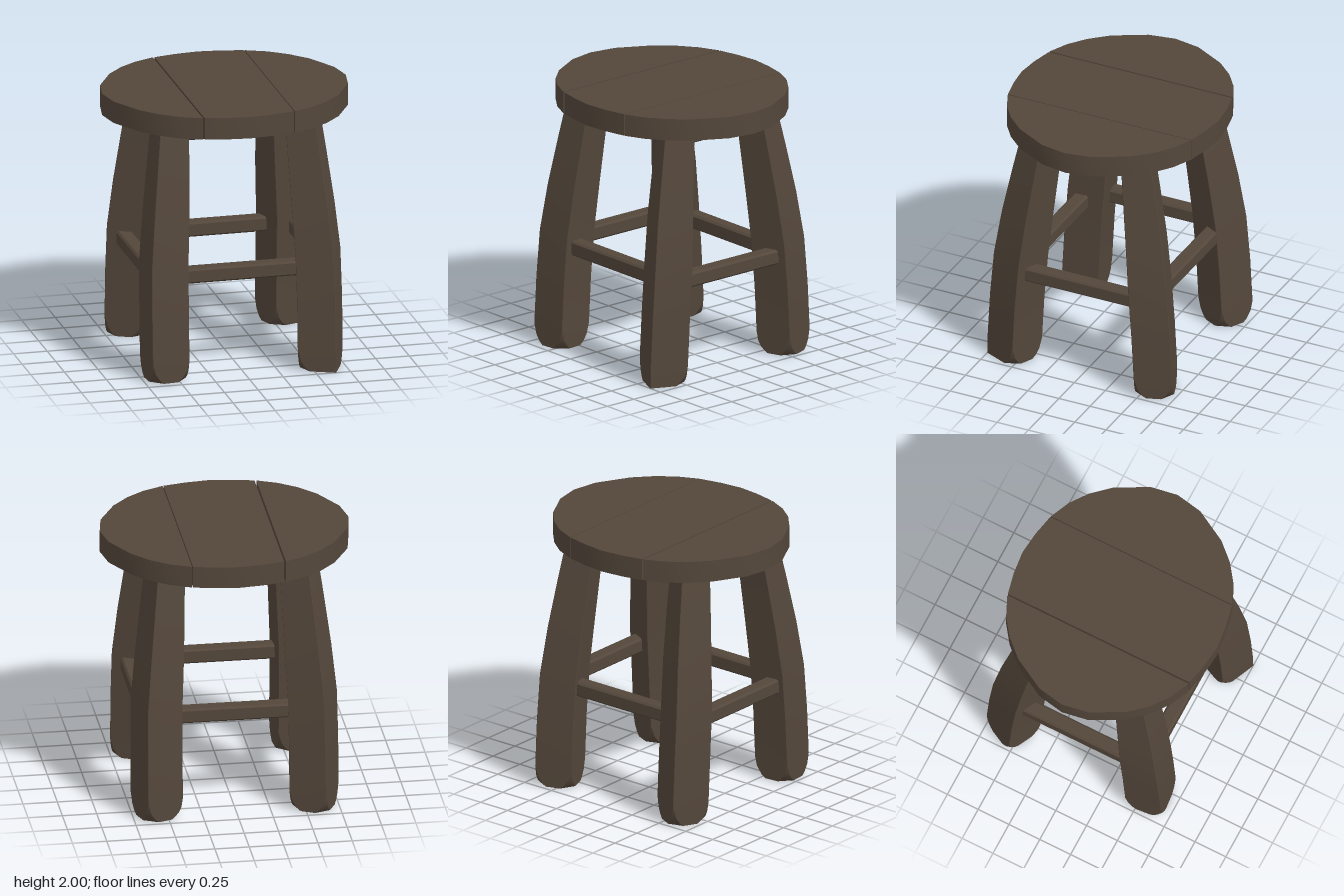
import * as THREE from 'three';
import { toCreasedNormals } from 'three/addons/utils/BufferGeometryUtils.js';

const wood = new THREE.MeshStandardMaterial({ color: 0x54473b });
wood.name = 'darkWood';

// Seat rim from the gap outward: [x, half depth]
const SIDE_RIM = [[0.34, 0.735], [0.49, 0.668], [0.62, 0.572], [0.74, 0.44], [0.87, 0.2], [0.905, 0]];
const MIDDLE_RIM = [[-0.33, 0.737], [-0.17, 0.772], [0, 0.79], [0.17, 0.772], [0.333, 0.737]];

// Leg rings: [y, centre x, centre z, side, corner cut]
const LEG = [
  [0, 0.572, 0.568, 0.278, 0.085],
  [0.025, 0.572, 0.567, 0.279, 0.055],
  [0.07, 0.572, 0.566, 0.28, 0.025],
  [0.15, 0.572, 0.564, 0.281, 0.003],
  [0.5, 0.572, 0.545, 0.281, 0.003],
  [0.85, 0.567, 0.517, 0.28, 0.003],
  [1.2, 0.541, 0.476, 0.266, 0.003],
  [1.55, 0.512, 0.425, 0.242, 0.003],
  [1.845, 0.488, 0.38, 0.218, 0.003],
];

function mesh(name, geometry) {
  const m = new THREE.Mesh(toCreasedNormals(geometry, 0.5), wood);
  m.name = name;
  return m;
}

// Flat seat board from an outline in x and z
function plank(name, outline) {
  const shape = new THREE.Shape(outline.map(([x, z]) => new THREE.Vector2(x, z)));
  const g = new THREE.ExtrudeGeometry(shape, { depth: 0.162, bevelEnabled: false });
  g.rotateX(-Math.PI / 2).translate(0, 1.838, 0);
  return mesh(name, g);
}

// Loft through equal rings of points, capped at both ends
function loft(rings, flip) {
  const n = rings[0].length, index = [];
  const tri = (a, b, c) => (flip ? index.push(a, c, b) : index.push(a, b, c));
  for (let r = 0; r < rings.length - 1; r++) {
    for (let i = 0; i < n; i++) {
      const a = r * n + i, b = r * n + (i + 1) % n;
      tri(a, a + n, b);
      tri(b, a + n, b + n);
    }
  }
  const top = (rings.length - 1) * n;
  for (let i = 1; i < n - 1; i++) {
    tri(0, i, i + 1);
    tri(top, top + i + 1, top + i);
  }
  const g = new THREE.BufferGeometry();
  g.setAttribute('position', new THREE.Float32BufferAttribute(rings.flat(2), 3));
  g.setIndex(index);
  return g;
}

// Splayed square leg, turned about its axis, with worn corners at the foot
function leg(name, sx, sz, degrees, sharpOuter = false) {
  const a = THREE.MathUtils.degToRad(degrees), c = Math.cos(a), s = Math.sin(a);
  const rings = LEG.map(([y, cx, cz, side, cut]) => {
    const h = side / 2, ring = [];
    [[1, 1], [-1, 1], [-1, -1], [1, -1]].forEach(([u, v], k) => {
      const d = k === 0 && sharpOuter ? 0.003 : cut;
      const inX = [u * (h - d), v * h], inZ = [u * h, v * (h - d)];
      for (const [x, z] of u * v > 0 ? [inZ, inX] : [inX, inZ]) {
        ring.push([sx * (cx + x * c - z * s), y, sz * (cz + x * s + z * c)]);
      }
    });
    return ring;
  });
  return mesh(name, loft(rings, sx * sz < 0));
}

// Rung with lightly chamfered edges, running along x or z
function rung(name, alongX, length, thick, y, offset) {
  const h = thick / 2, k = h * 0.75;
  const pts = [[h, k], [k, h], [-k, h], [-h, k], [-h, -k], [-k, -h], [k, -h], [h, -k]];
  const shape = new THREE.Shape(pts.map(([x, z]) => new THREE.Vector2(x, z)));
  const g = new THREE.ExtrudeGeometry(shape, { depth: length, bevelEnabled: false });
  g.translate(0, 0, -length / 2);
  if (alongX) g.rotateY(Math.PI / 2);
  g.translate(alongX ? 0 : offset, y, alongX ? offset : 0);
  return mesh(name, g);
}

export function createModel() {
  const model = new THREE.Group();
  model.name = 'stool';

  // Seat of three boards with narrow gaps
  const back = pts => pts.map(([x, z]) => [x, -z]).reverse();
  const side = [...SIDE_RIM, ...back(SIDE_RIM.slice(0, -1))];
  model.add(
    plank('middleSeatPlank', [...MIDDLE_RIM, ...back(MIDDLE_RIM)]),
    plank('leftSeatPlank', side),
    plank('rightSeatPlank', side.map(([x, z]) => [x === 0.34 ? -0.343 : -x, z])),
  );

  // Legs, each turned a little differently
  const frontRightLeg = leg('frontRightLeg', -1, 1, 5.5);
  frontRightLeg.position.set(-0.008, 0, -0.014);
  model.add(
    frontRightLeg,
    leg('frontLeftLeg', 1, 1, 24, true),
    leg('backLeftLeg', 1, -1, 19),
    leg('backRightLeg', -1, -1, 27),
  );

  // Lower and upper rungs on all four sides
  for (const s of [1, -1]) {
    const end = s > 0 ? 'front' : 'back', flank = s > 0 ? 'left' : 'right';
    model.add(
      rung(end + 'LowerRung', true, 0.96, 0.11, 0.757, s * 0.53),
      rung(flank + 'LowerRung', false, 0.89, 0.11, 0.757, s * 0.635),
      rung(end + 'UpperRung', true, 0.88, 0.086, 1.795, s * 0.432),
      rung(flank + 'UpperRung', false, 0.69, 0.074, 1.798, s * 0.575),
    );
  }
  return model;
}
